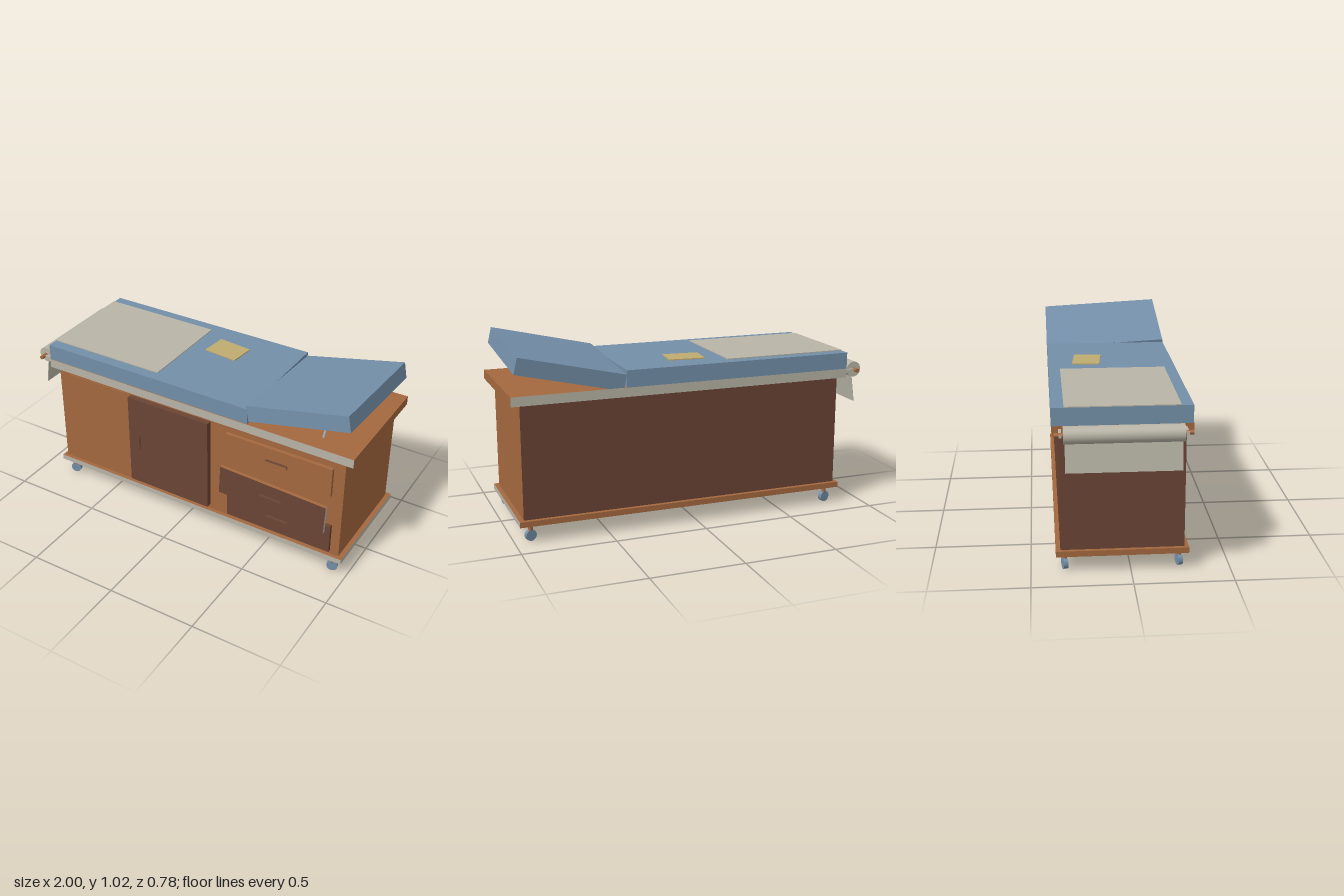
import * as THREE from 'three';

export function createModel() {
  const model = new THREE.Group();
  const mat = (name, color) => {
    const m = new THREE.MeshStandardMaterial({ color });
    m.name = name;
    return m;
  };
  const M = {
    w: mat('warm wood', 0xa4683f),
    d: mat('dark wood', 0x6a4434),
    b: mat('blue vinyl', 0x738fa8),
    c: mat('cream', 0xb8b4a6),
    y: mat('yellow pad', 0xbfac70),
  };
  M.c.side = THREE.DoubleSide;

  const add = (name, geo, material, x, y, z, parent = model) => {
    const mesh = new THREE.Mesh(geo, material);
    mesh.name = name;
    mesh.position.set(x, y, z);
    parent.add(mesh);
    return mesh;
  };
  // Box from min/max ranges; key is one colour, or one per face (+x -x +y -y +z -z)
  const box = (name, key, [x0, x1], [y0, y1], [z0, z1]) => {
    const material = key.length === 1 ? M[key] : [...key].map((k) => M[k]);
    return add(name, new THREE.BoxGeometry(x1 - x0, y1 - y0, z1 - z0), material,
      (x0 + x1) / 2, (y0 + y1) / 2, (z0 + z1) / 2);
  };

  // Cabinet carcass, plinth and table top
  box('cabinet', 'wdwwwd', [-0.84, 0.95], [0.12, 0.73], [-0.352, 0.268]);
  box('base', 'cwwwcw', [-0.86, 0.975], [0.09, 0.12], [-0.375, 0.29]);
  box('tableTop', 'wwwwcc', [-0.88, 1], [0.73, 0.78], [-0.385, 0.298]);

  // Cushions: flat bed and tilted, slightly twisted backrest
  box('mattress', 'b', [-0.88, 0.397], [0.78, 0.87], [-0.387, 0.295]);
  const backrest = add('backrest', new THREE.BoxGeometry(0.578, 0.088, 0.682), M.b, 0.684, 0.889, -0.045);
  backrest.rotation.set(-0.058, 0, 0.225, 'ZYX');

  // Backrest prop and hinge
  const prop = add('backrestProp', new THREE.CylinderGeometry(0.008, 0.008, 0.11, 12), M.c, 0.795, 0.832, 0.193);
  prop.rotation.z = -0.18;
  box('hinge', 'c', [0.4, 0.425], [0.78, 0.797], [0.2, 0.235]);

  // Paper cover and note pad on the bed
  box('paperCover', 'c', [-0.88, -0.19], [0.87, 0.875], [-0.325, 0.235]);
  const pad = box('notePad', 'y', [-0.093, 0.105], [0.87, 0.876], [-0.248, -0.1]);
  pad.rotation.y = -0.1;

  // Sliding doors
  box('leftDoor', 'w', [-0.775, -0.35], [0.15, 0.7], [0.266, 0.272]);
  box('rightDoor', 'd', [-0.35, 0.162], [0.148, 0.7], [0.268, 0.3]);
  box('doorHandle', 'd', [-0.288, -0.277], [0.375, 0.475], [0.3, 0.307]);

  // Drawers: centre height, height, front z, tilt, face colours, handle colours
  const drawers = [
    [0.61, 0.17, 0.318, 0, 'w', 'wwddww'],
    [0.42, 0.168, 0.372, -0.04, 'cwwddd', 'wwdddd'],
    [0.226, 0.168, 0.288, 0, 'd', 'wwdddd'],
  ];
  drawers.forEach(([y, h, z, tilt, key, handleKey]) => {
    const front = box('drawerFront', key, [0.282, 0.9], [y - h / 2, y + h / 2], [z - 0.02, z]);
    front.rotation.z = tilt;
    const handle = box('drawerHandle', handleKey, [0.527, 0.653], [y - 0.003, y + 0.013], [z, z + 0.017]);
    handle.rotation.z = tilt;
  });

  // Paper roll on a spindle with two arms and a loose end
  const rod = (name, r, z0, z1, material) => {
    const m = add(name, new THREE.CylinderGeometry(r, r, z1 - z0, 24), material, -0.957, 0.76, (z0 + z1) / 2);
    m.rotation.x = Math.PI / 2;
  };
  rod('paperRoll', 0.043, -0.332, 0.242, M.c);
  rod('spindle', 0.011, -0.375, 0.285, M.w);
  for (const z of [-0.346, 0.256]) {
    box('rollArm', 'c', [-0.97, -0.878], [0.75, 0.766], [z - 0.007, z + 0.007]);
  }
  const looseEnd = box('paperEnd', 'c', [-0.961, -0.959], [0.573, 0.725], [-0.325, 0.235]);
  looseEnd.rotation.z = -0.14;

  // Casters
  for (const x of [-0.797, 0.912]) {
    for (const z of [-0.33, 0.247]) {
      const caster = new THREE.Group();
      caster.name = 'caster';
      caster.position.set(x, 0, z);
      model.add(caster);
      add('stem', new THREE.CylinderGeometry(0.012, 0.012, 0.04, 12), M.w, 0, 0.071, 0, caster);
      const wheel = add('wheel', new THREE.CylinderGeometry(0.03, 0.03, 0.023, 16), M.b, 0, 0.03, 0, caster);
      wheel.rotation.set(Math.PI / 2, 0.25, 0, 'YXZ');
    }
  }
  return model;
}
